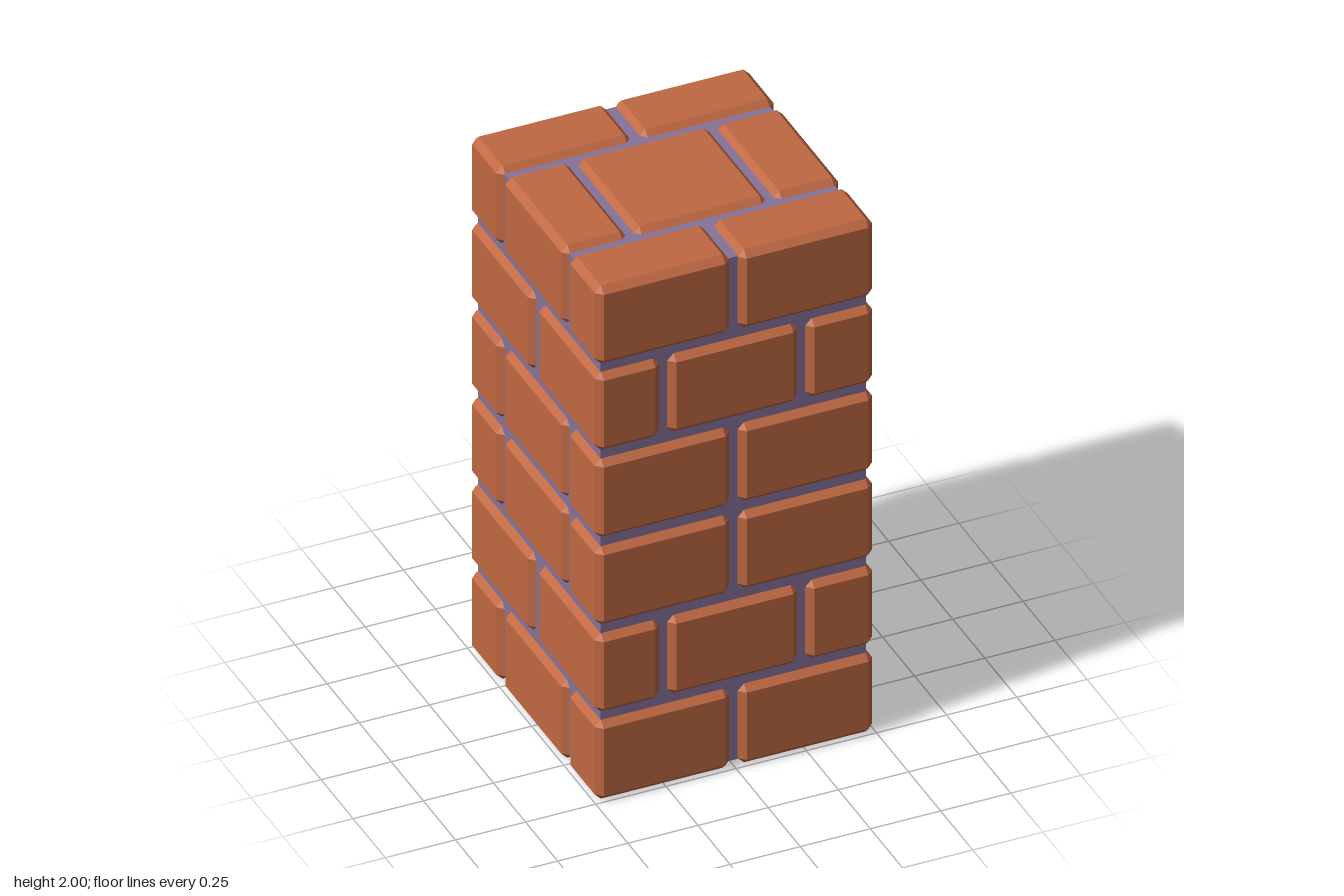
import * as THREE from 'three';
import { ConvexGeometry } from 'three/addons/geometries/ConvexGeometry.js';

const BEVEL = 0.023;
const brickMaterial = new THREE.MeshStandardMaterial({ color: 0xc06842, flatShading: true });
const mortarMaterial = new THREE.MeshStandardMaterial({ color: 0x857399, flatShading: true });

// Box with every edge and corner chamfered
function chamferedBox(w, h, d, b) {
  const half = [w / 2, h / 2, d / 2];
  const points = [];
  for (const sx of [-1, 1]) for (const sy of [-1, 1]) for (const sz of [-1, 1]) {
    for (let axis = 0; axis < 3; axis++) {
      const [x, y, z] = half.map((v, i) => (i === axis ? v : v - b));
      points.push(new THREE.Vector3(sx * x, sy * y, sz * z));
    }
  }
  return new ConvexGeometry(points);
}

// Brick spanning the given ranges
function brick([x0, x1], [y0, y1], [z0, z1]) {
  const mesh = new THREE.Mesh(chamferedBox(x1 - x0, y1 - y0, z1 - z0, BEVEL), brickMaterial);
  mesh.position.set((x0 + x1) / 2, (y0 + y1) / 2, (z0 + z1) / 2);
  mesh.name = 'brick';
  return mesh;
}

export function createModel() {
  const pillar = new THREE.Group();
  pillar.name = 'brickPillar';

  // Mortar core
  const mortar = new THREE.Mesh(new THREE.BoxGeometry(0.945, 1.96, 0.955), mortarMaterial);
  mortar.position.y = 1;
  mortar.name = 'mortar';
  pillar.add(mortar);

  // Ranges across the pillar: two halves, or edge / middle / edge
  const halvesX = [[-0.494, -0.015], [0.015, 0.494]];
  const thirdsX = [[-0.494, -0.262], [-0.238, 0.236], [0.26, 0.494]];
  const offsetThirdsX = [[-0.494, -0.264], [-0.236, 0.227], [0.256, 0.494]];
  const halvesZ = [[-0.5, -0.022], [0.024, 0.5]];
  const edgesZ = [[-0.5, -0.268], [0.266, 0.5]];
  const middleZ = [-0.24, 0.238];

  // Six courses
  const courses = [[0, 0.308], [0.34, 0.646], [0.68, 0.985], [1.02, 1.327], [1.36, 1.665], [1.697, 2]];
  courses.forEach((y, i) => {
    const course = new THREE.Group();
    course.name = `course${i + 1}`;
    if (i === 1 || i === 4) {
      for (const x of offsetThirdsX) for (const z of halvesZ) course.add(brick(x, y, z));
    } else {
      for (const x of halvesX) for (const z of edgesZ) course.add(brick(x, y, z));
      for (const x of thirdsX) course.add(brick(x, y, middleZ));
    }
    pillar.add(course);
  });

  return pillar;
}
